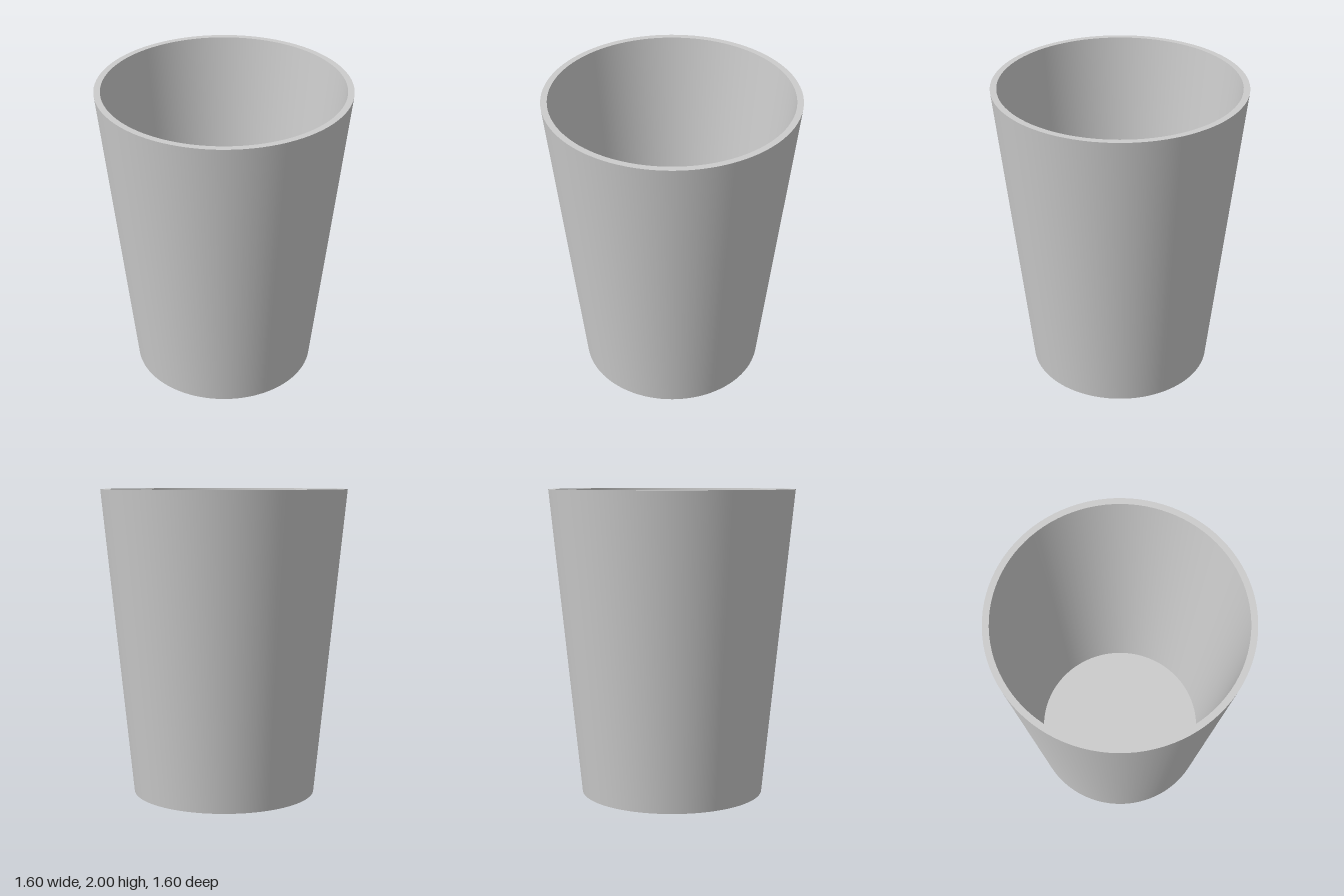
import * as THREE from 'three';
import { toCreasedNormals } from 'three/addons/utils/BufferGeometryUtils.js';

const HEIGHT = 2;
const BASE_RADIUS = 0.6;
const RIM_RADIUS = 0.8;
const WALL = 0.04;

export function createModel() {
  const group = new THREE.Group();
  group.name = 'cup';

  // Closed section: underside, outer wall, flat rim, inner wall, inside floor
  const floorRadius = BASE_RADIUS - WALL + WALL * (RIM_RADIUS - BASE_RADIUS) / HEIGHT;
  const profile = [
    [0, 0],
    [BASE_RADIUS, 0],
    [RIM_RADIUS, HEIGHT],
    [RIM_RADIUS - WALL, HEIGHT],
    [floorRadius, WALL],
    [0, WALL],
  ].map(([r, y]) => new THREE.Vector2(r, y));

  // Smooth around the walls, sharp at the rim and base
  const geometry = toCreasedNormals(new THREE.LatheGeometry(profile, 96), Math.PI / 6);
  const body = new THREE.Mesh(geometry, new THREE.MeshStandardMaterial({ color: 0xcccccc }));
  body.name = 'cupBody';
  group.add(body);

  return group;
}
